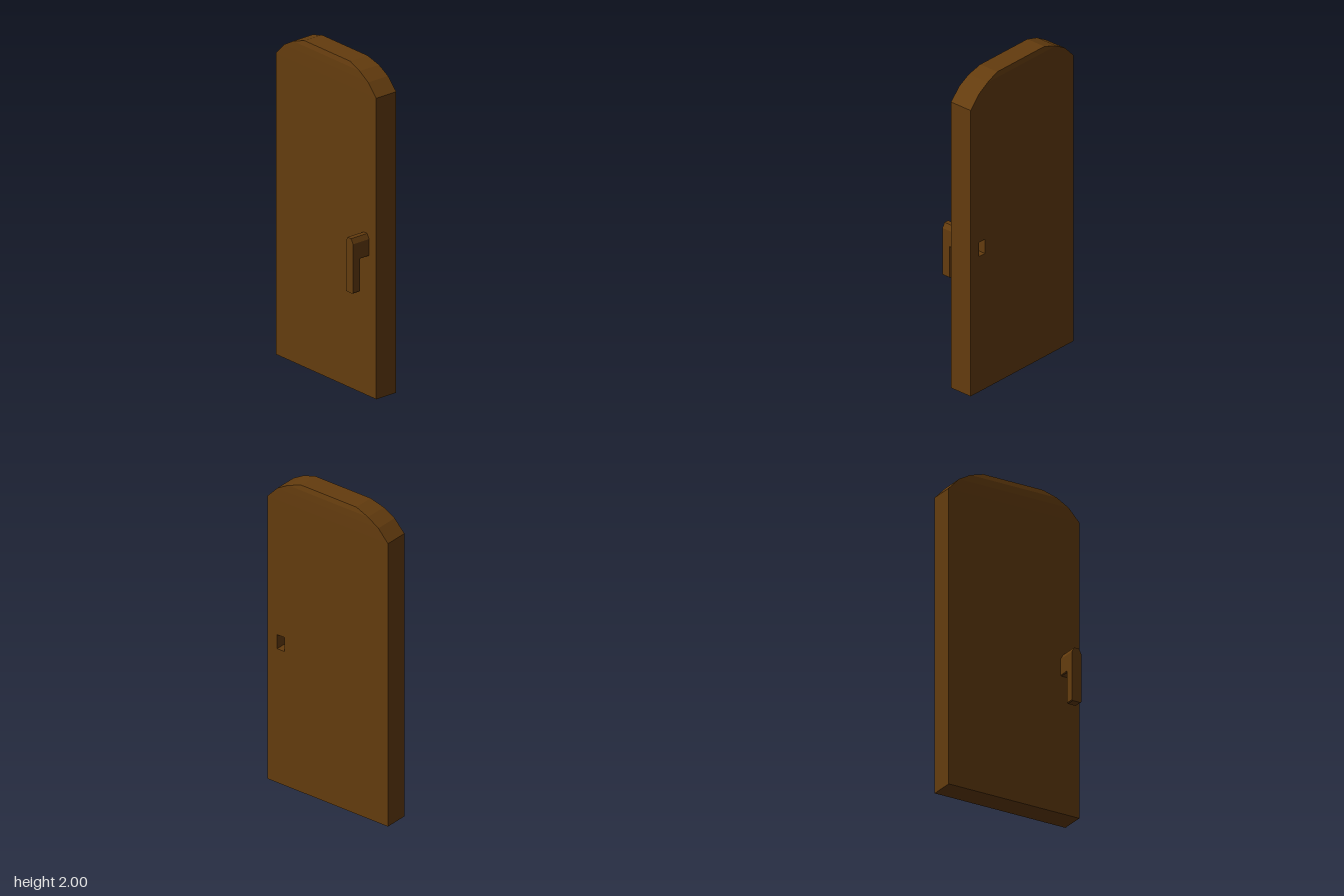
import * as THREE from 'three';

const BACK = -0.135, FRONT = 0.015, HALF = 0.437, SPRING = 1.85;

const polygon = (pts) => new THREE.Shape(pts.map(([x, y]) => new THREE.Vector2(x, y)));

// Extrudes an outline from z0 to z1
function slab(shape, z0, z1) {
  const geo = new THREE.ExtrudeGeometry(shape, { depth: z1 - z0, bevelEnabled: false });
  return geo.translate(0, 0, z0);
}

// Arched top: rectangular sections that narrow and thin slightly towards the crown
function archGeometry() {
  const rows = [[HALF, SPRING, 0], [0.367, 1.925, 0.001], [0.29, 1.97, 0.003], [0.2, 2, 0.01]];
  const rings = rows.map(([w, y, inset]) => [
    [-w, y, FRONT - inset], [w, y, FRONT - inset],
    [w, y, BACK + inset], [-w, y, BACK + inset],
  ]);
  const pos = [];
  const quad = (a, b, c, d) => [a, b, c, a, c, d].forEach((p) => pos.push(...p));
  for (let i = 0; i < rings.length - 1; i++) {
    for (let j = 0; j < 4; j++) {
      const k = (j + 1) % 4;
      quad(rings[i][j], rings[i][k], rings[i + 1][k], rings[i + 1][j]);
    }
  }
  quad(...rings[rings.length - 1]);
  const geo = new THREE.BufferGeometry();
  geo.setAttribute('position', new THREE.Float32BufferAttribute(pos, 3));
  geo.computeVertexNormals();
  return geo;
}

export function createModel() {
  const model = new THREE.Group();
  model.name = 'door';
  const wood = new THREE.MeshStandardMaterial({ color: 0x643c0e });
  wood.name = 'brown wood';

  const add = (parent, name, geo) => {
    const mesh = new THREE.Mesh(geo, wood);
    mesh.name = name;
    parent.add(mesh);
  };

  // Door leaf with the latch hole open at the back
  const leaf = polygon([[-HALF, 0], [HALF, 0], [HALF, SPRING], [-HALF, SPRING]]);
  leaf.holes.push(polygon([[0.315, 0.875], [0.315, 0.967], [0.367, 0.967], [0.367, 0.875]]));
  add(model, 'doorLeaf', slab(leaf, BACK, FRONT));
  add(model, 'archedTop', archGeometry());

  // Handle: a stub from the door and a grip hanging from it, both with a chamfered top
  const handle = new THREE.Group();
  handle.name = 'handle';
  model.add(handle);
  const profile = (bottom) => polygon([
    [0.312, bottom + 0.005], [0.318, bottom], [0.369, bottom], [0.375, bottom + 0.005],
    [0.375, 0.965], [0.358, 0.995], [0.328, 0.995], [0.312, 0.965],
  ]);
  add(handle, 'handleStub', slab(profile(0.86), 0.005, 0.09));
  add(handle, 'handleGrip', slab(profile(0.66), 0.083, 0.135));
  return model;
}
